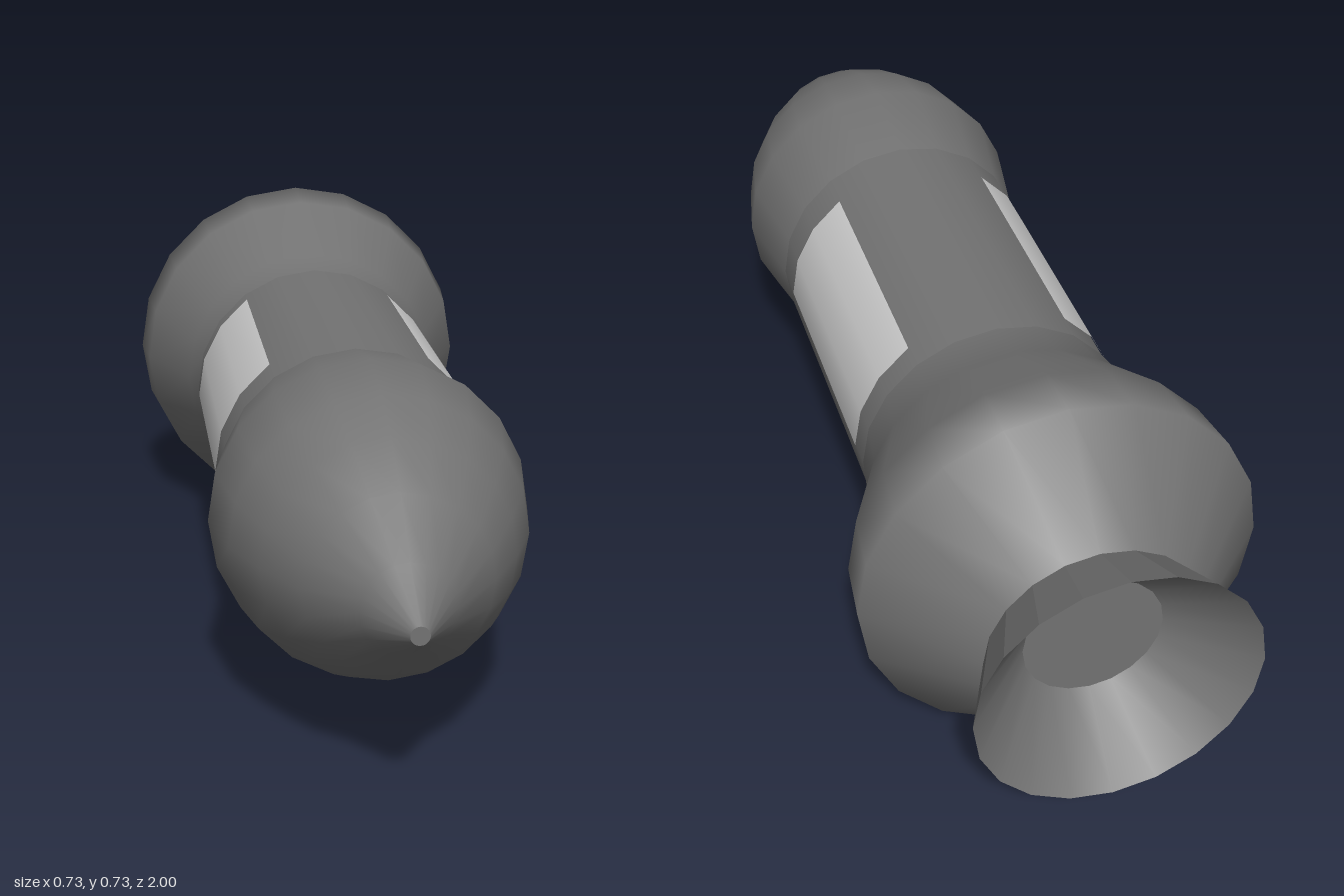
import * as THREE from 'three';

const SIDES = 20;
const AXIS_Y = 0.365;
const DEG = Math.PI / 180;

// Revolves [radius, z] pairs, listed back to front, around the long axis
function revolve(name, profile, material, start = 0, sweep = 360) {
  const points = profile.map(([r, z]) => new THREE.Vector2(r, z));
  const segments = Math.round((SIDES * sweep) / 360);
  const geometry = new THREE.LatheGeometry(points, segments, start * DEG, sweep * DEG);
  geometry.rotateX(Math.PI / 2);
  const mesh = new THREE.Mesh(geometry, material);
  mesh.name = name;
  return mesh;
}

export function createModel() {
  const dark = new THREE.MeshStandardMaterial({ color: 0x737373 });
  const faceted = new THREE.MeshStandardMaterial({ color: 0x737373, flatShading: true });
  const light = new THREE.MeshStandardMaterial({ color: 0xcccccc });

  const rocket = new THREE.Group();
  rocket.name = 'rocket';
  rocket.position.y = AXIS_Y;

  // Hull: bulging tail, straight middle and pointed nose
  rocket.add(revolve('tailSection', [
    [0.195, -0.875], [0.365, -0.71], [0.352, -0.6], [0.27, -0.43], [0.255, -0.34],
  ], dark));
  rocket.add(revolve('middleSection', [[0.255, -0.34], [0.255, 0.29]], dark));
  rocket.add(revolve('noseSection', [
    [0.255, 0.29], [0.288, 0.47], [0.262, 0.6], [0.218, 0.7],
    [0.16, 0.8], [0.08, 0.9], [0.016, 1],
  ], dark));
  rocket.add(revolve('noseTip', [[0.016, 1], [0, 1]], dark));

  // Nozzle: outer bell, funnel inside it and the throat disc
  rocket.add(revolve('nozzleBell', [[0.253, -1], [0.195, -0.875]], faceted));
  rocket.add(revolve('nozzleFunnel', [[0.125, -0.87], [0.253, -1]], dark));
  rocket.add(revolve('nozzleThroat', [[0, -0.87], [0.125, -0.87]], dark));

  // Light panels wrapped over the upper part of each flank
  const panel = [[0.257, -0.29], [0.257, 0.21]];
  rocket.add(revolve('leftPanel', panel, light, 90, 54));
  rocket.add(revolve('rightPanel', panel, light, 216, 54));

  const model = new THREE.Group();
  model.add(rocket);
  return model;
}
